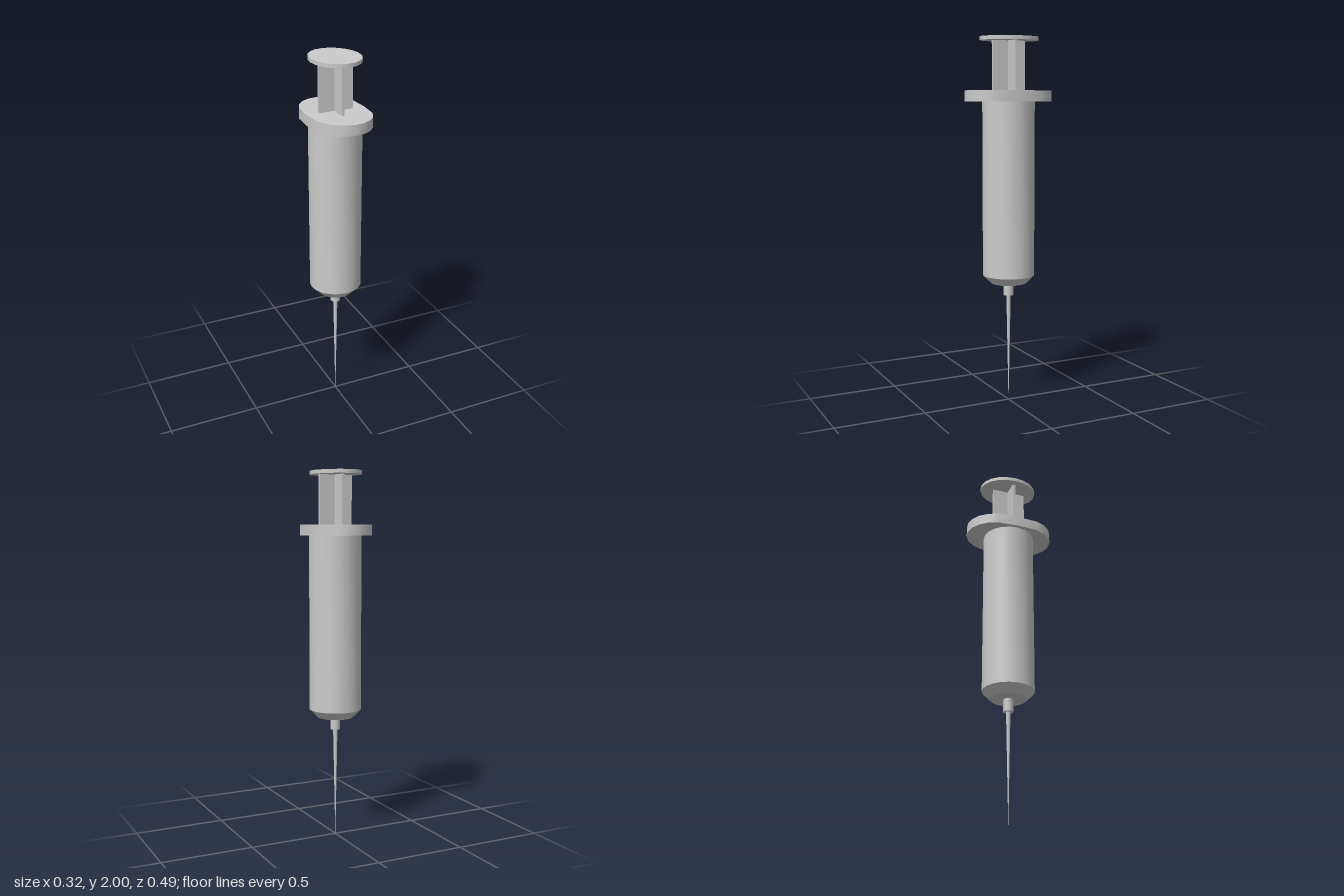
import * as THREE from 'three';
import { toCreasedNormals } from 'three/addons/utils/BufferGeometryUtils.js';

const SIDES = 20;

export function createModel() {
  const group = new THREE.Group();
  const material = new THREE.MeshStandardMaterial({ color: 0xcccccc });

  const add = (name, geometry) => {
    const mesh = new THREE.Mesh(geometry, material);
    mesh.name = name;
    group.add(mesh);
    return mesh;
  };
  // Round part between two heights
  const round = (rTop, rBottom, y0, y1, sides = SIDES) =>
    new THREE.CylinderGeometry(rTop, rBottom, y1 - y0, sides).translate(0, (y0 + y1) / 2, 0);

  // Barrel with a tapered shoulder and flat ends
  const profile = [[0, 0.67], [0.098, 0.67], [0.142, 0.715], [0.142, 1.67], [0, 1.67]]
    .map(([r, y]) => new THREE.Vector2(r, y));
  add('barrel', toCreasedNormals(new THREE.LatheGeometry(profile, SIDES), 0.6));

  // Finger flange: a disc whose halves are pulled apart along z
  const flange = round(0.162, 0.162, 1.66, 1.718);
  const p = flange.attributes.position;
  for (let i = 0; i < p.count; i++) {
    const z = p.getZ(i);
    if (Math.abs(z) > 1e-4) {
      p.setZ(i, z + Math.sign(z) * 0.083 * Math.pow(Math.abs(z) / 0.162, 0.2));
    }
  }
  add('fingerFlange', toCreasedNormals(flange, 0.6));

  // Plunger: cross-shaped rod and oval thumb rest
  add('plungerRibX', new THREE.BoxGeometry(0.19, 0.29, 0.015)).position.y = 1.845;
  add('plungerRibZ', new THREE.BoxGeometry(0.015, 0.29, 0.19)).position.y = 1.845;
  const rest = round(1, 1, 1.98, 2).scale(0.133, 1, 0.162).translate(0, 0, -0.005);
  add('thumbRest', toCreasedNormals(rest, 0.6));

  // Needle hub and needle
  add('needleHub', round(0.027, 0.027, 0.6, 0.68, 12));
  add('needle', round(0.013, 0.0005, 0, 0.61, 8));

  return group;
}
